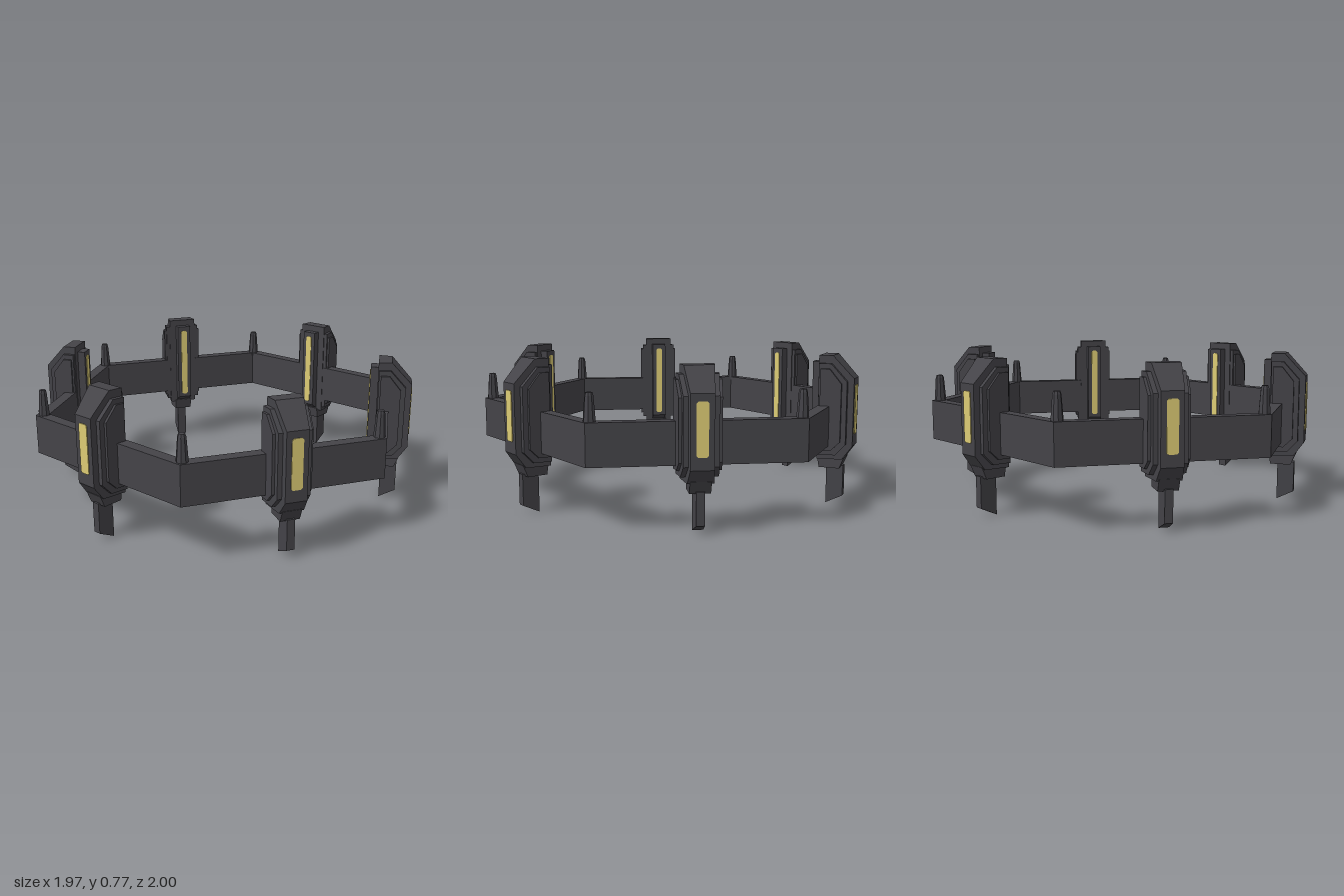
import * as THREE from 'three';

const hull = new THREE.MeshStandardMaterial({ color: 0x444348, flatShading: true });
hull.name = 'dark hull';
const glow = new THREE.MeshStandardMaterial({ color: 0xdccb74 });
glow.name = 'yellow light';

const RING_R = 1.026, WALL = 0.07, START = THREE.MathUtils.degToRad(17), STEP = Math.PI / 3;

function hexPoints(radius) {
  return Array.from({ length: 6 }, (_, i) =>
    new THREE.Vector2(Math.cos(START + i * STEP) * radius, Math.sin(START + i * STEP) * radius));
}

function add(group, name, geometry, material) {
  const mesh = new THREE.Mesh(geometry, material);
  mesh.name = name;
  group.add(mesh);
  return mesh;
}

// Side profile given as [radius, height], extruded sideways; width runs linearly from inner to outer end
function slab(profile, innerWidth, outerWidth = innerWidth) {
  const shape = new THREE.Shape(profile.map(([r, y]) => new THREE.Vector2(r, y)));
  const geo = new THREE.ExtrudeGeometry(shape, { depth: 1, bevelEnabled: false });
  geo.translate(0, 0, -0.5).rotateY(-Math.PI / 2);
  const radii = profile.map((p) => p[0]);
  const r0 = Math.min(...radii), r1 = Math.max(...radii);
  const pos = geo.attributes.position;
  for (let i = 0; i < pos.count; i++) {
    const t = (pos.getZ(i) - r0) / (r1 - r0);
    pos.setX(i, pos.getX(i) * THREE.MathUtils.lerp(innerWidth, outerWidth, t));
  }
  geo.computeVertexNormals();
  return geo;
}

// Thin lit plate with clipped corners, facing +z
function lightPlate(width, height) {
  const w = width / 2, h = height / 2, c = 0.008;
  const corners = [[w, h - c], [w - c, h], [c - w, h], [-w, h - c], [-w, c - h], [c - w, -h], [w - c, -h], [w, c - h]];
  const shape = new THREE.Shape(corners.map(([x, y]) => new THREE.Vector2(x, y)));
  return new THREE.ExtrudeGeometry(shape, { depth: 0.006, bevelEnabled: false }).translate(0, 0, -0.003);
}

// Pylon built facing +z, at its distance from the ring centre
function makePylon() {
  const g = new THREE.Group();
  g.name = 'pylon';
  add(g, 'pylonCore', slab([[0.825, 0.24], [0.95, 0.24], [1.0, 0.31], [1.0, 0.655], [0.893, 0.77], [0.825, 0.77]], 0.16, 0.11), hull);
  add(g, 'sideArmor', slab([[0.83, 0.265], [0.92, 0.265], [0.97, 0.32], [0.97, 0.64], [0.89, 0.73], [0.83, 0.73]], 0.2, 0.165), hull);
  add(g, 'sidePanel', slab([[0.84, 0.29], [0.9, 0.29], [0.945, 0.335], [0.945, 0.63], [0.885, 0.705], [0.84, 0.705]], 0.222, 0.2), hull);
  add(g, 'innerFrame', slab([[0.785, 0.28], [0.83, 0.25], [0.83, 0.735], [0.785, 0.735]], 0.08), hull);
  add(g, 'lowerCollar', slab([[0.83, 0.19], [0.935, 0.19], [0.96, 0.25], [0.82, 0.25]], 0.1), hull);
  add(g, 'lowerFin', slab([[0.865, 0], [0.95, 0.042], [0.95, 0.2], [0.865, 0.2]], 0.052, 0.04), hull);
  add(g, 'outerLight', lightPlate(0.056, 0.25), glow).position.set(0, 0.495, 1.001);
  add(g, 'innerLight', lightPlate(0.036, 0.41), glow).position.set(0, 0.505, 0.784);
  return g;
}

export function createModel() {
  const model = new THREE.Group();
  model.name = 'hexagonalRing';

  // Six-sided band
  const outline = new THREE.Shape(hexPoints(RING_R));
  outline.holes.push(new THREE.Path(hexPoints(RING_R - WALL).reverse()));
  const band = new THREE.ExtrudeGeometry(outline, { depth: 0.205, bevelEnabled: false });
  add(model, 'ringBand', band.rotateX(Math.PI / 2).translate(0, 0.517, 0), hull);

  // Spikes on the corners: tapered, with a small chamfered tip
  const spike = new THREE.LatheGeometry(
    [[0.03, 0.5], [0.029, 0.53], [0.021, 0.635], [0.016, 0.65], [0, 0.65]].map(([r, y]) => new THREE.Vector2(r, y)), 8);
  const pylon = makePylon();
  hexPoints(RING_R - WALL / 2 - 0.008).forEach((p, i) => {
    add(model, 'cornerSpike', spike, hull).position.set(p.x, 0, p.y);
    // One pylon at the middle of each side
    const copy = pylon.clone();
    copy.rotation.y = Math.PI / 2 - (START + (i + 0.5) * STEP);
    model.add(copy);
  });
  return model;
}
